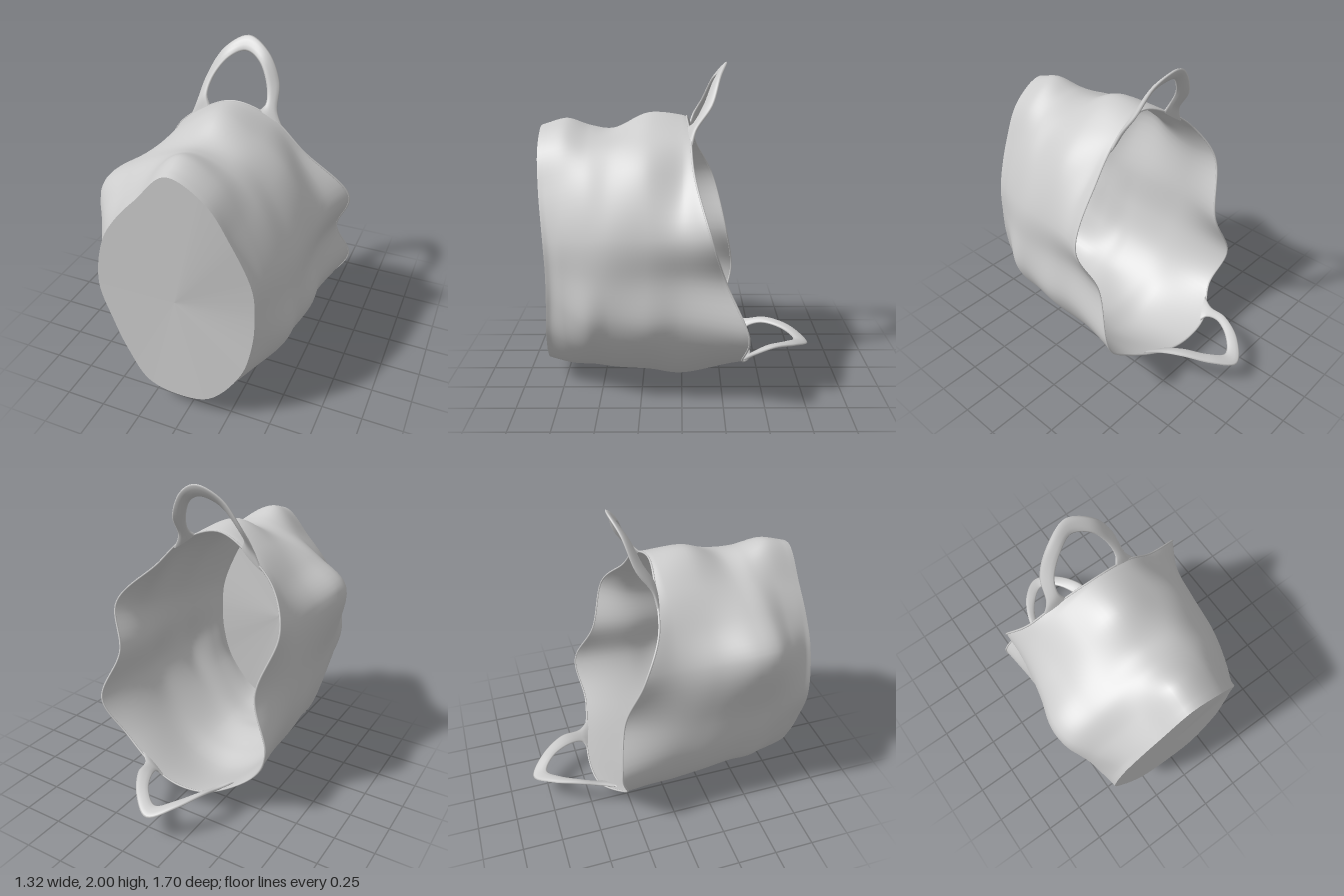
import * as THREE from 'three';

const V = (x, y, z) => new THREE.Vector3(x, y, z);
const material = new THREE.MeshStandardMaterial({ color: 0xcccccc, side: THREE.DoubleSide });

// Skin a list of closed rings (equal point counts) with smooth normals
function loft(rings) {
  const n = rings[0].length, index = [];
  for (let i = 0; i < rings.length - 1; i++) {
    for (let j = 0; j < n; j++) {
      const a = i * n + j, b = i * n + (j + 1) % n;
      index.push(a, b, a + n, b, b + n, a + n);
    }
  }
  const geo = new THREE.BufferGeometry().setFromPoints(rings.flat());
  geo.setIndex(index);
  geo.computeVertexNormals();
  return geo;
}

// Bag cross-sections: scale of a base ellipse at these angles, from the top towards +x
const angles = [0, 22.5, 45, 73, 90, 108, 128, 157.5, 180, 202.5, 225, 246, 270, 298, 317, 337.5];
const sections = [
  { z: 0.85, dip: 0.055, s: [.96, .9, .8, .78, .77, .79, .83, .87, .855, .86, .77, .74, .79, .79, .78, .81] },
  { z: 0.81, dip: 0.05, s: [.975, .915, .81, .785, .775, .795, .84, .885, .87, .875, .785, .75, .8, .81, .8, .825] },
  { z: 0.69, s: [1.01, .95, .86, .84, .83, .87, .9, .92, .9, .9, .84, .81, .84, .95, .87, .87] },
  { z: 0.55, s: [.955, .94, .92, .92, .93, 1.02, .97, .93, .9, .9, .9, .86, .86, 1.12, .98, .92] },
  { z: 0.42, s: [.935, .95, .94, .97, .97, 1.03, .99, .95, .89, .9, .9, .87, .87, 1.145, 1, .93] },
  { z: 0.2, s: [1.05, 1, 1, 1.01, .97, 1.08, 1.02, .97, .95, .93, .93, .9, .87, 1.03, .97, .98] },
  { z: 0, s: [1.03, 1, .97, 1.07, .96, 1.06, 1.03, 1, 1, .97, .94, .9, .84, .96, .97, .99] },
  { s: [1.02, 1, .99, 1.21, 1.02, 1.19, 1.05, .88, .85, .88, .97, .96, .7, .97, .99, .98] },
];
// Depth of the wavy opening at the same angles
const rimZ = [-.03, -.05, -.07, -.16, -.25, -.38, -.36, -.43, -.45, -.43, -.31, -.36, -.31, -.21, -.1, -.06];

function sectionPoint({ z, s, dip = 0 }, k) {
  const a = THREE.MathUtils.degToRad(angles[k]);
  // the base edge is pulled in along the +x side
  const depth = (z ?? rimZ[k]) - dip * Math.max(0, Math.sin(a)) ** 3;
  return V(-0.05 + s[k] * 0.6 * Math.sin(a), 0.83 + s[k] * 0.83 * Math.cos(a), depth);
}

function bagRings(steps, around) {
  const ribs = angles.map((_, k) =>
    new THREE.CatmullRomCurve3(sections.map(sec => sectionPoint(sec, k))));
  const rings = [];
  for (let i = 0; i <= steps; i++) {
    const loop = new THREE.CatmullRomCurve3(ribs.map(r => r.getPoint(i / steps)), true);
    rings.push(loop.getPoints(around).slice(0, around));
  }
  return rings;
}

// Flat strap with rounded edges between an outer and an inner arch
function strap(outerPoints, innerPoints, thickness) {
  const outer = new THREE.CatmullRomCurve3(outerPoints.map(p => V(...p)));
  const inner = new THREE.CatmullRomCurve3(innerPoints.map(p => V(...p)));
  const rings = [], steps = 56, n = 10;
  for (let i = 0; i <= steps; i++) {
    const o = outer.getPoint(i / steps), q = inner.getPoint(i / steps);
    const half = q.clone().sub(o).multiplyScalar(0.5);
    const mid = o.clone().add(half);
    const normal = half.clone().cross(outer.getTangent(i / steps)).normalize();
    const ring = [];
    for (let j = 0; j < n; j++) {
      const a = j / n * Math.PI * 2;
      ring.push(mid.clone().addScaledVector(half, Math.cos(a))
        .addScaledVector(normal, thickness * Math.sin(a)));
    }
    rings.push(ring);
  }
  return loft(rings);
}

export function createModel() {
  const group = new THREE.Group();
  const add = (name, geo) => {
    const mesh = new THREE.Mesh(geo, material);
    mesh.name = name;
    group.add(mesh);
  };

  // Soft crumpled wall, open at the back
  const rings = bagRings(63, 112);
  add('bagWall', loft(rings));

  // Flat base, a fan of facets around its centre
  const edge = rings[0], centre = V(-0.05, 0.82, 0.835), fan = [];
  for (let j = 0; j < edge.length; j++) fan.push(centre, edge[(j + 1) % edge.length], edge[j]);
  const base = new THREE.BufferGeometry().setFromPoints(fan);
  base.computeVertexNormals();
  add('bagBase', base);

  // Thin hem around the opening
  const hem = new THREE.CatmullRomCurve3(rings[rings.length - 1], true);
  add('openingHem', new THREE.TubeGeometry(hem, 160, 0.006, 6, true));

  // Upper handle, growing out of the rim
  add('upperHandle', strap(
    [[-.37, 1.5, -.07], [-.325, 1.61, -.09], [-.295, 1.75, -.18], [-.2, 1.92, -.23], [-.06, 2, -.27],
      [.08, 1.93, -.23], [.17, 1.77, -.18], [.195, 1.63, -.085], [.25, 1.53, -.055]],
    [[-.22, 1.61, -.05], [-.25, 1.67, -.075], [-.235, 1.76, -.125], [-.15, 1.88, -.18], [-.06, 1.92, -.215],
      [.04, 1.88, -.18], [.11, 1.76, -.125], [.125, 1.67, -.075], [.1, 1.64, -.04]], 0.012));

  // Lower handle, lying out behind the opening
  add('lowerHandle', strap(
    [[-.37, .225, -.35], [-.32, .215, -.44], [-.285, .24, -.58], [-.2, .215, -.74], [-.06, .16, -.845],
      [.08, .205, -.75], [.18, .24, -.6], [.23, .215, -.46], [.31, .22, -.38]],
    [[-.22, .15, -.43], [-.25, .18, -.455], [-.24, .215, -.55], [-.16, .21, -.68], [-.06, .185, -.75],
      [.04, .21, -.68], [.11, .215, -.55], [.135, .18, -.46], [.1, .14, -.44]], 0.012));

  return group;
}
